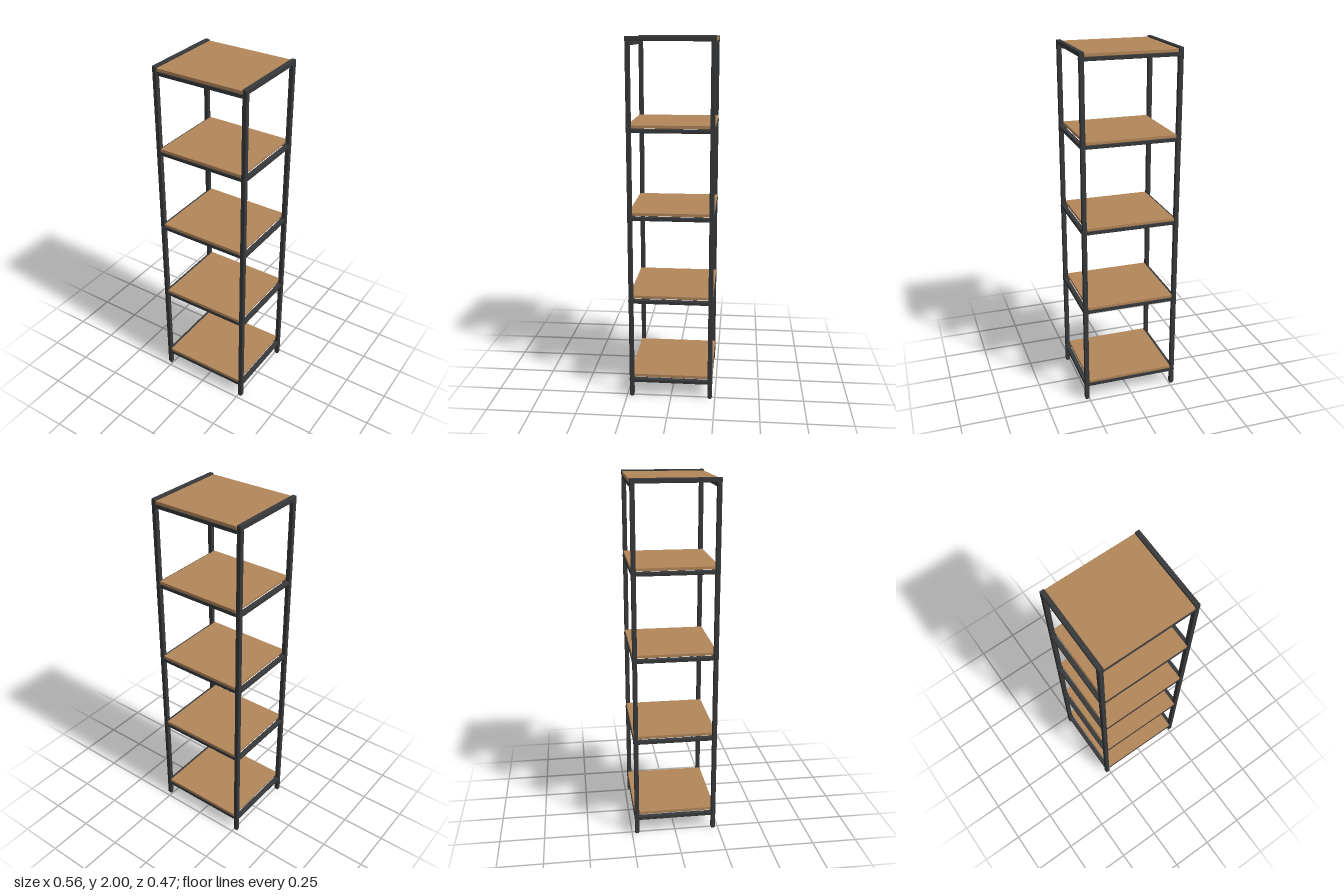
import * as THREE from 'three';
import { RoundedBoxGeometry } from 'three/addons/geometries/RoundedBoxGeometry.js';

const metal = new THREE.MeshStandardMaterial({ color: 0x37393b });
metal.name = 'charcoal metal';
const wood = new THREE.MeshStandardMaterial({ color: 0xb4875a });
wood.name = 'oak wood';

const TUBE = 0.025;             // square tube width
const PX = 0.263, PZ = 0.221;   // post centres
const BOARD = 0.018;            // board thickness
const SHELF_TOPS = [0.128, 0.601, 1.074, 1.547, 1.993];

function box(name, size, pos, material, radius = 0.003) {
  const mesh = new THREE.Mesh(new RoundedBoxGeometry(...size, 2, radius), material);
  mesh.name = name;
  mesh.position.set(...pos);
  return mesh;
}

export function createModel() {
  const model = new THREE.Group();
  model.name = 'shelfUnit';

  // Corner posts with rounded feet
  for (const sx of [-1, 1]) for (const sz of [-1, 1]) {
    model.add(box('post', [TUBE, 1.98, TUBE], [sx * PX, 1.0, sz * PZ], metal));
    model.add(box('foot', [TUBE * 0.92, 0.04, TUBE * 0.92], [sx * PX, 0.02, sz * PZ], metal, 0.008));
  }

  // Shelves: a board resting on a tube frame
  const boltGeometry = new THREE.CylinderGeometry(0.008, 0.008, 0.003, 12);
  SHELF_TOPS.forEach((top, i) => {
    const isTop = i === SHELF_TOPS.length - 1;
    const railY = top - BOARD - 0.0105;
    const shelf = new THREE.Group();
    shelf.name = 'shelf' + (i + 1);
    shelf.add(box('board', [0.498, BOARD, 0.464], [0, top - BOARD / 2, 0], wood, 0.002));

    for (const s of [-1, 1]) {
      shelf.add(box('crossRail', [2 * PX - TUBE, 0.021, TUBE], [0, railY, s * PZ], metal));
      // The uppermost side rails run over the post tops
      if (isTop) shelf.add(box('topSideRail', [TUBE, TUBE, 0.468], [s * PX, 1.9875, 0], metal));
      else shelf.add(box('sideRail', [TUBE, 0.021, 2 * PZ - TUBE], [s * PX, railY, 0], metal));

      // Bolt heads on the outer faces of the posts
      for (const t of [-1, 1]) {
        const sideBolt = new THREE.Mesh(boltGeometry, metal);
        sideBolt.name = 'sideBolt';
        sideBolt.rotation.z = Math.PI / 2;
        sideBolt.position.set(s * 0.2762, railY, t * PZ);
        shelf.add(sideBolt);
        if (isTop) continue;
        const frontBolt = new THREE.Mesh(boltGeometry, metal);
        frontBolt.name = 'endBolt';
        frontBolt.rotation.x = Math.PI / 2;
        frontBolt.position.set(s * PX, railY, t * 0.2342);
        shelf.add(frontBolt);
      }
    }
    model.add(shelf);
  });

  return model;
}
